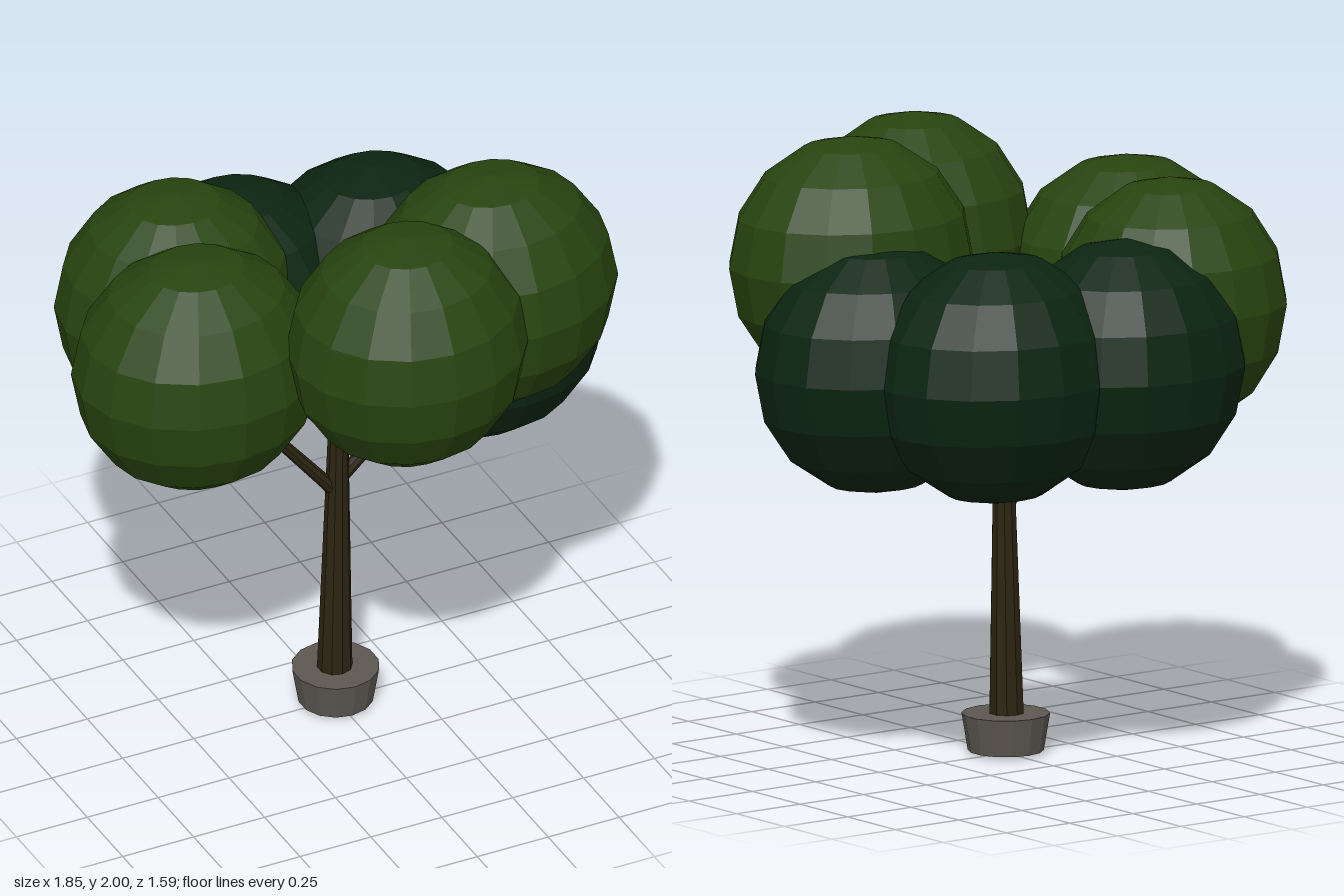
import * as THREE from 'three';

function material(name, color) {
  const m = new THREE.MeshStandardMaterial({ color, flatShading: true });
  m.name = name;
  return m;
}

export function createModel() {
  const tree = new THREE.Group();
  tree.name = 'tree';
  const lightLeaf = material('light leaf green', 0x28440f);
  const darkLeaf = material('dark leaf green', 0x0c2511);
  const bark = material('bark brown', 0x2b2411);
  const stone = material('planter grey', 0x5c5750);

  function add(name, geometry, mat) {
    const mesh = new THREE.Mesh(geometry, mat);
    mesh.name = name;
    tree.add(mesh);
    return mesh;
  }

  // Tapered limb between two points
  function limb(name, from, to, r0, r1, sides) {
    const a = new THREE.Vector3(...from);
    const b = new THREE.Vector3(...to);
    const dir = b.clone().sub(a);
    const mesh = add(name, new THREE.CylinderGeometry(r1, r0, dir.length(), sides), bark);
    mesh.position.copy(a).add(b).multiplyScalar(0.5);
    mesh.quaternion.setFromUnitVectors(new THREE.Vector3(0, 1, 0), dir.normalize());
  }

  // Planter
  add('planter', new THREE.CylinderGeometry(0.14, 0.12, 0.12, 14), stone).position.y = 0.07;

  // Trunk, leaning very slightly
  limb('trunk', [-0.005, 0, 0], [0.012, 1.22, 0], 0.06, 0.027, 10);

  // Branches reaching into the foliage
  [
    [[0, 0.79, 0], [-0.38, 1.26, 0.01]],
    [[0, 0.82, 0], [0.34, 1.12, 0]],
    [[0.01, 1.0, 0], [-0.22, 1.24, -0.2]],
    [[0.01, 1.0, 0], [0.19, 1.27, -0.2]],
    [[0.01, 1.03, 0], [0.03, 1.3, 0.24]],
    [[0.01, 1.03, 0], [0.2, 1.3, 0.12]],
  ].forEach(([from, to]) => limb('branch', from, to, 0.023, 0.016, 8));

  // Foliage: a ring of slightly flattened balls, [x, y, z, rx, rz, material]
  const ball = new THREE.SphereGeometry(1, 16, 8);
  [
    [-0.52, 1.45, 0.06, 0.405, 0.36, lightLeaf],
    [-0.415, 1.45, -0.31, 0.385, 0.355, lightLeaf],
    [0.035, 1.595, 0.435, 0.39, 0.36, lightLeaf],
    [0.43, 1.595, 0.24, 0.41, 0.355, lightLeaf],
    [0.51, 1.305, 0, 0.41, 0.35, darkLeaf],
    [0.31, 1.305, -0.36, 0.41, 0.36, darkLeaf],
    [-0.14, 1.305, -0.435, 0.405, 0.36, darkLeaf],
  ].forEach(([x, y, z, rx, rz, mat]) => {
    const mesh = add('foliage', ball, mat);
    mesh.position.set(x, y, z);
    mesh.scale.set(rx, 0.405, rz);
  });

  return tree;
}
